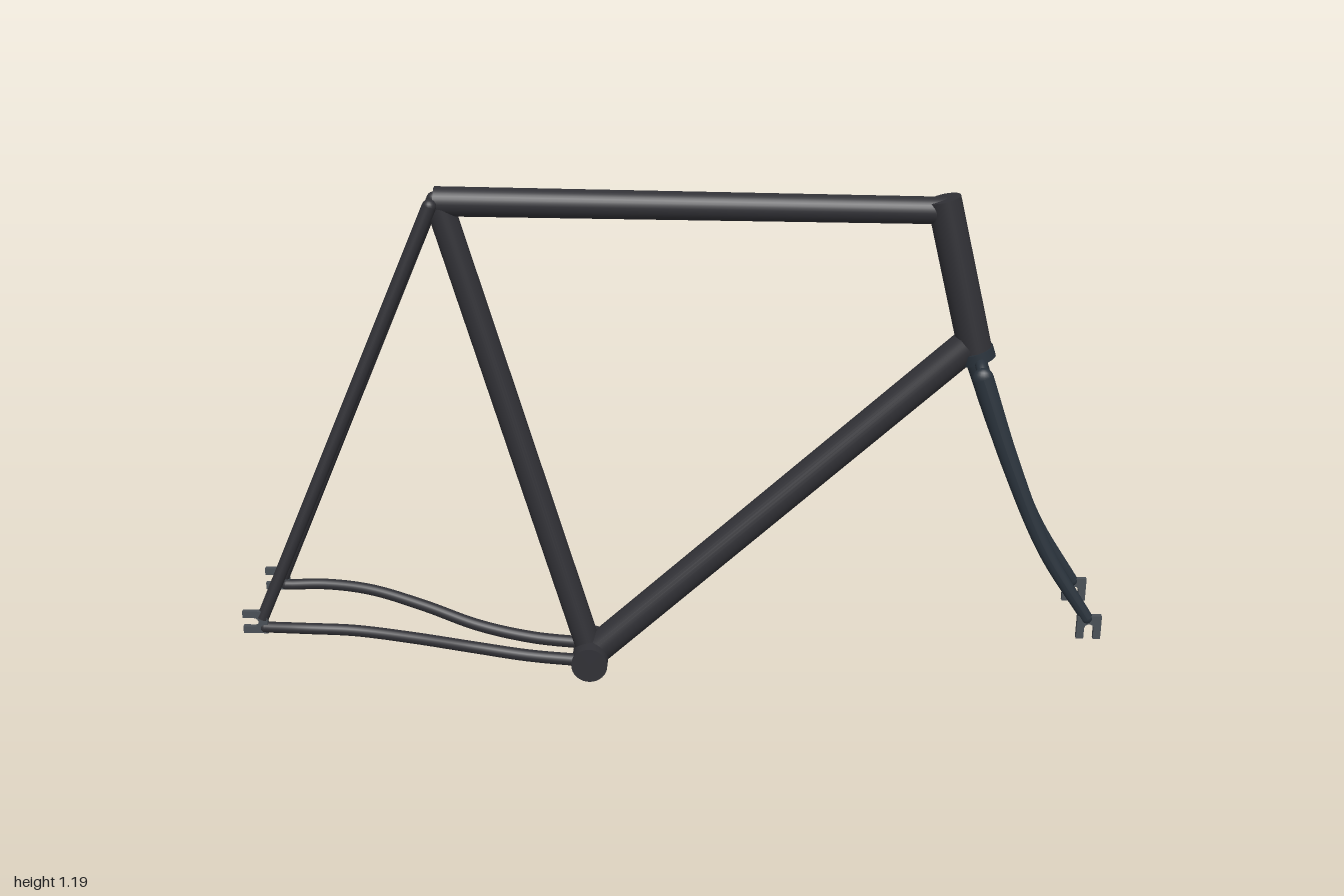
import * as THREE from 'three';

const frameMat = new THREE.MeshStandardMaterial({ color: 0x313136 });
const forkMat = new THREE.MeshStandardMaterial({ color: 0x29323b });
const metalMat = new THREE.MeshStandardMaterial({ color: 0x4a5056 });
const V = (x, y, z = 0) => new THREE.Vector3(x, y, z);

function add(parent, name, geometry, material) {
  const mesh = new THREE.Mesh(geometry, material);
  mesh.name = name;
  parent.add(mesh);
  return mesh;
}

// Straight closed cylinder between two points
function rod(parent, name, a, b, rA, rB = rA, material = frameMat) {
  const dir = b.clone().sub(a);
  const mesh = add(parent, name, new THREE.CylinderGeometry(rB, rA, dir.length(), 32), material);
  mesh.position.copy(a).add(b).multiplyScalar(0.5);
  mesh.quaternion.setFromUnitVectors(V(0, 1, 0), dir.normalize());
  return mesh;
}

// Curved tube with a tapering radius, optionally flattened across z, with rounded ends
function bentTube(parent, name, points, rA, rB, material, flat = 1) {
  const group = new THREE.Group();
  group.name = name;
  parent.add(group);
  const curve = new THREE.CatmullRomCurve3(points);
  const segs = 48, sides = 20;
  const geo = new THREE.TubeGeometry(curve, segs, 1, sides, false);
  const pos = geo.attributes.position, p = V(0, 0), c = V(0, 0);
  for (let i = 0; i < pos.count; i++) {
    const u = Math.floor(i / (sides + 1)) / segs;
    curve.getPointAt(u, c);
    p.fromBufferAttribute(pos, i).sub(c).multiplyScalar(rA + (rB - rA) * u);
    p.z *= flat;
    pos.setXYZ(i, c.x + p.x, c.y + p.y, c.z + p.z);
  }
  geo.computeVertexNormals();
  add(group, name + 'Body', geo, material);
  [[points[0], rA], [points[points.length - 1], rB]].forEach(([q, r]) => {
    const cap = add(group, name + 'End', new THREE.SphereGeometry(r, 20, 12), material);
    cap.position.copy(q);
    cap.scale.z = flat;
  });
  return group;
}

// Thin slotted plate: its two prongs point along -y, the root sits at y = 0
function dropout(parent, name, position, turn, material) {
  const s = new THREE.Shape();
  s.moveTo(-0.028, 0.012);
  s.lineTo(-0.028, -0.046);
  s.lineTo(-0.011, -0.046);
  s.lineTo(-0.011, -0.02);
  s.absarc(0, -0.02, 0.011, Math.PI, 0, true);
  s.lineTo(0.011, -0.046);
  s.lineTo(0.028, -0.046);
  s.lineTo(0.028, 0.012);
  s.closePath();
  const geo = new THREE.ExtrudeGeometry(s, { depth: 0.012, bevelEnabled: false, curveSegments: 10 });
  geo.translate(0, 0, -0.006);
  const mesh = add(parent, name, geo, material);
  mesh.position.copy(position);
  mesh.rotation.z = turn;
}

export function createModel() {
  const root = new THREE.Group();
  root.name = 'bicycleFrame';
  const frame = new THREE.Group();
  frame.name = 'frame';
  const fork = new THREE.Group();
  fork.name = 'fork';
  root.add(frame, fork);

  const bracket = V(-0.195, 0.043);
  const seatTop = V(-0.515, 1.16);
  const headTop = V(0.595, 1.172), headBottom = V(0.683, 0.825);

  // Main triangle
  rod(frame, 'bottomBracketShell', V(bracket.x, bracket.y, -0.064), V(bracket.x, bracket.y, 0.064), 0.043);
  rod(frame, 'seatTube', bracket, seatTop, 0.031);
  rod(frame, 'topTube', V(-0.523, 1.158), V(0.6, 1.145), 0.033, 0.03);
  rod(frame, 'downTube', bracket, V(0.665, 0.835), 0.037);
  rod(frame, 'headTube', headBottom, headTop, 0.038);

  // Fork crown under the head tube
  rod(fork, 'crownRace', V(0.691, 0.801), headBottom, 0.041, 0.041, forkMat);
  bentTube(fork, 'forkCrown', [
    V(0.695, 0.785, -0.068), V(0.693, 0.8, -0.045), V(0.692, 0.806, 0),
    V(0.693, 0.8, 0.045), V(0.695, 0.785, 0.068),
  ], 0.013, 0.013, forkMat);

  for (const s of [1, -1]) {
    const side = s > 0 ? 'Front' : 'Back';

    // Rear stays and dropouts
    rod(frame, 'seatStay' + side, V(-0.955, 0.185, s * 0.113), V(-0.53, 1.155, s * 0.035), 0.014, 0.016);
    const stayEnd = add(frame, 'seatStayCap' + side, new THREE.SphereGeometry(0.016, 20, 12), frameMat);
    stayEnd.position.set(-0.53, 1.155, s * 0.035);
    bentTube(frame, 'chainStay' + side, [
      V(-0.95, 0.162, s * 0.114), V(-0.85, 0.162, s * 0.119), V(-0.74, 0.153, s * 0.109),
      V(-0.607, 0.123, s * 0.085), V(-0.473, 0.086, s * 0.057), V(-0.34, 0.06, s * 0.047),
      V(-0.2, 0.047, s * 0.045),
    ], 0.013, 0.015, frameMat);
    dropout(frame, 'rearDropout' + side, V(-0.954, 0.178, s * 0.117), -Math.PI / 2, metalMat);

    // Curved fork blades and dropouts
    bentTube(fork, 'forkBlade' + side, [
      V(0.695, 0.78, s * 0.068), V(0.768, 0.58, s * 0.079), V(0.86, 0.37, s * 0.091),
      V(0.965, 0.205, s * 0.1),
    ], 0.024, 0.014, forkMat, 0.72);
    dropout(fork, 'frontDropout' + side, V(0.971, 0.2, s * 0.1), 0, metalMat);
  }
  return root;
}
